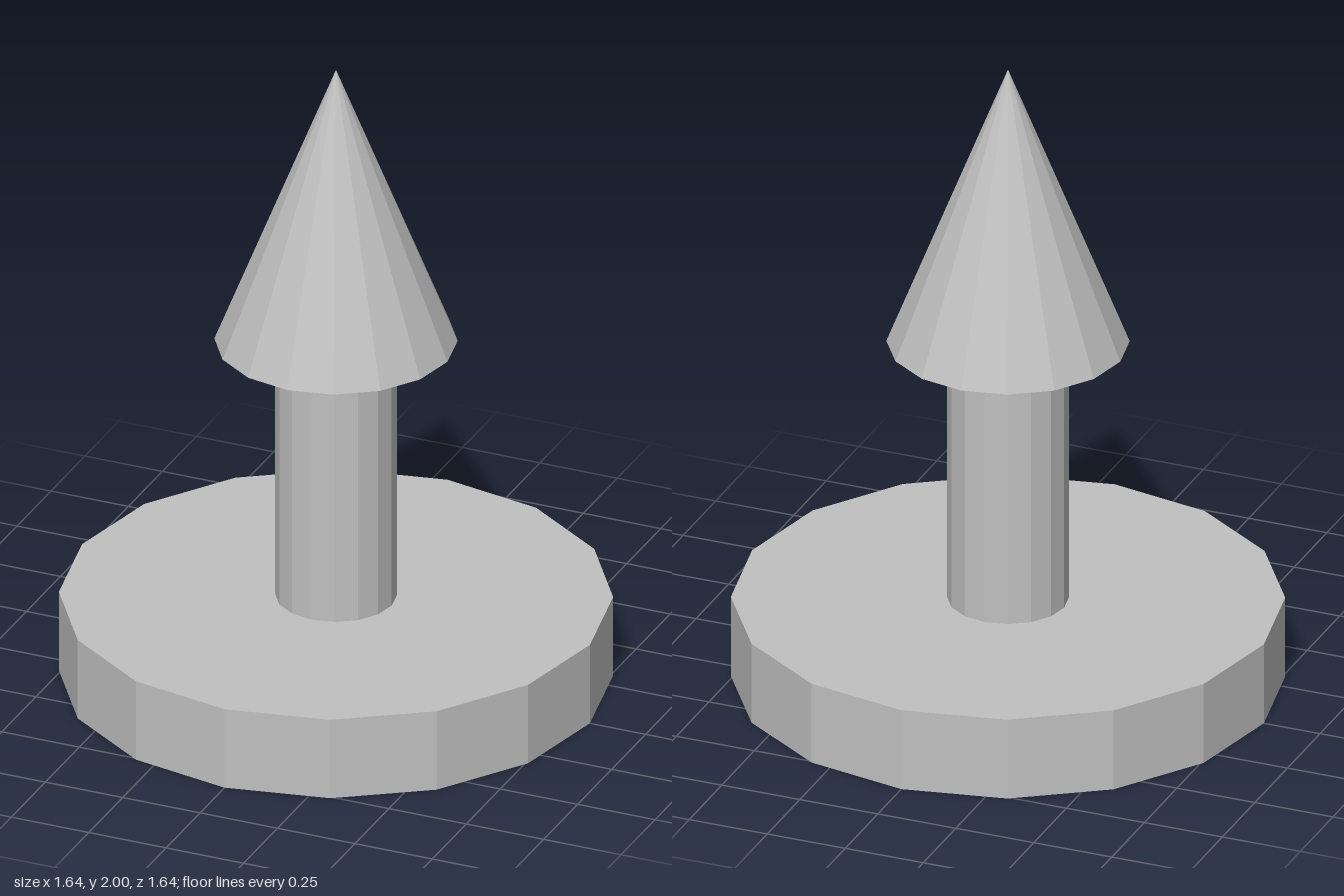
import * as THREE from 'three';

const SIDES = 16;

export function createModel() {
  const model = new THREE.Group();
  model.name = 'arrowOnStand';
  const grey = new THREE.MeshStandardMaterial({ color: 0xc0c0c0, flatShading: true });
  grey.name = 'light grey';

  // Adds one upright faceted part between two heights
  const addPart = (name, topRadius, bottomRadius, y0, y1) => {
    const geometry = new THREE.CylinderGeometry(topRadius, bottomRadius, y1 - y0, SIDES);
    const mesh = new THREE.Mesh(geometry, grey);
    mesh.name = name;
    mesh.position.y = (y0 + y1) / 2;
    model.add(mesh);
  };

  addPart('base', 0.82, 0.82, 0, 0.26);
  addPart('shaft', 0.18, 0.18, 0.26, 1.105);
  addPart('arrowHead', 0, 0.36, 1.105, 2);

  return model;
}
